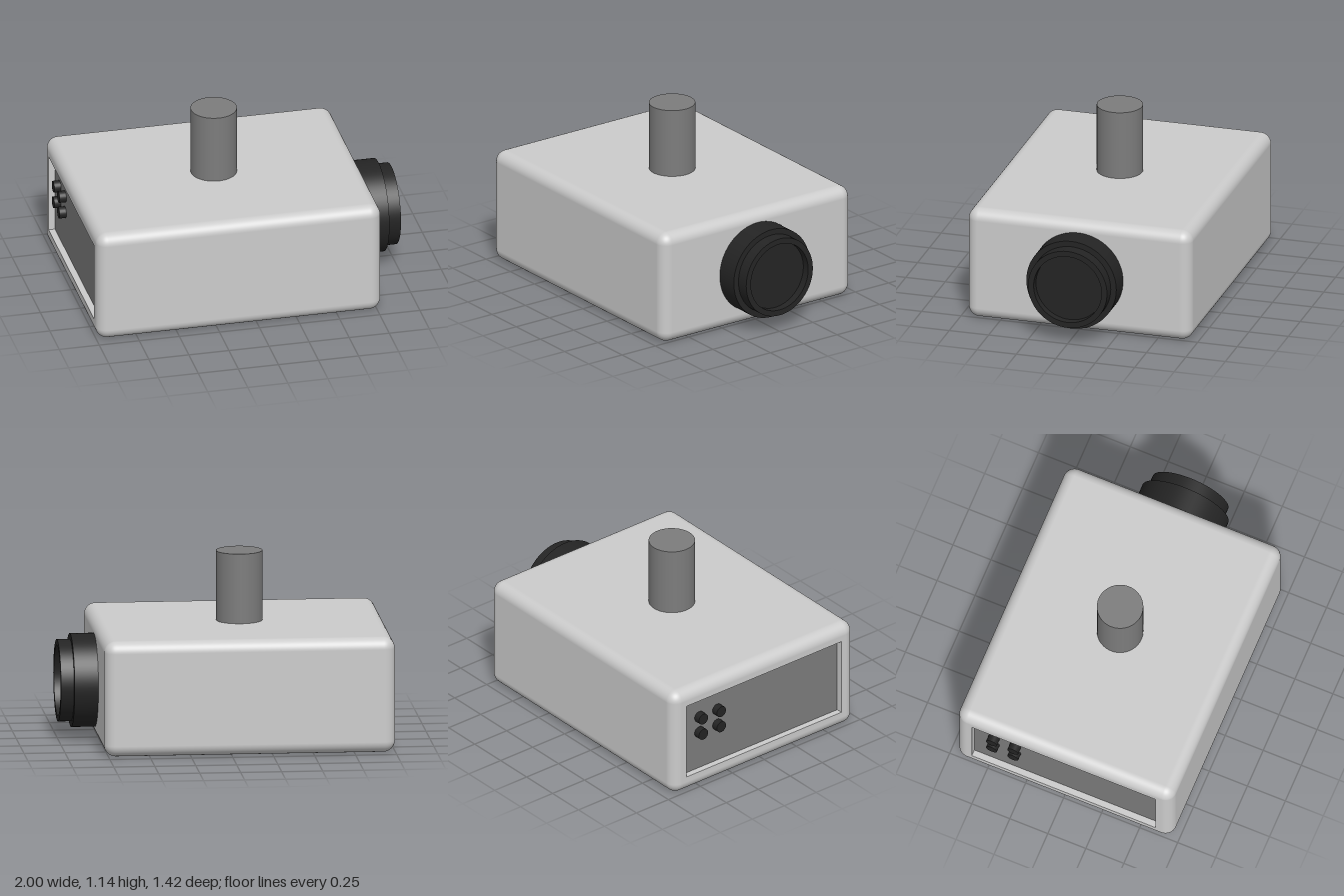
import * as THREE from 'three';
import { RoundedBoxGeometry } from 'three/addons/geometries/RoundedBoxGeometry.js';

const BACK = -0.998, FRONT = 0.775, H = 0.71, HALF_Z = 0.71, R = 0.07;
const MID_Y = H / 2, MARGIN = 0.105, RECESS = 0.04;

const grey = new THREE.MeshStandardMaterial({ color: 0xcccccc });
const darkGrey = new THREE.MeshStandardMaterial({ color: 0x7c7c7c });
const black = new THREE.MeshStandardMaterial({ color: 0x242424 });

function add(parent, name, geometry, material, x = 0, y = 0, z = 0) {
  const mesh = new THREE.Mesh(geometry, material);
  mesh.name = name;
  mesh.position.set(x, y, z);
  parent.add(mesh);
  return mesh;
}

// Rounded box with its flat -x face left open for the recessed panel
function openShell() {
  const length = FRONT - BACK;
  const full = new RoundedBoxGeometry(length, H, HALF_Z * 2, 6, R);
  const geo = full.index ? full.toNonIndexed() : full;
  const p = geo.attributes.position, n = geo.attributes.normal;
  const pos = [], nor = [];
  for (let i = 0; i < p.count; i += 3) {
    const flat = [0, 1, 2].every((k) => p.getX(i + k) < -length / 2 + 1e-4);
    if (flat) continue;
    for (let k = i; k < i + 3; k++) {
      pos.push(p.getX(k), p.getY(k), p.getZ(k));
      nor.push(n.getX(k), n.getY(k), n.getZ(k));
    }
  }
  const out = new THREE.BufferGeometry();
  out.setAttribute('position', new THREE.Float32BufferAttribute(pos, 3));
  out.setAttribute('normal', new THREE.Float32BufferAttribute(nor, 3));
  return out;
}

function rectangle(target, w, h) {
  target.moveTo(-w, -h).lineTo(w, -h).lineTo(w, h).lineTo(-w, h).closePath();
  return target;
}

export function createModel() {
  const model = new THREE.Group();
  model.name = 'projector';

  // Housing
  add(model, 'housing', openShell(), grey, (BACK + FRONT) / 2, MID_Y, 0);

  // Frame around the recessed control panel on the -x end
  const holeZ = HALF_Z - MARGIN, holeY = MID_Y - MARGIN;
  const frame = rectangle(new THREE.Shape(), HALF_Z - R, MID_Y - R);
  frame.holes.push(rectangle(new THREE.Path(), holeZ, holeY));
  const frameGeo = new THREE.ExtrudeGeometry(frame, { depth: RECESS, bevelEnabled: false });
  frameGeo.rotateY(-Math.PI / 2);
  add(model, 'panelFrame', frameGeo, grey, BACK + RECESS, MID_Y, 0);

  // Panel floor
  add(model, 'controlPanel', new THREE.BoxGeometry(0.02, holeY * 2, holeZ * 2), darkGrey,
    BACK + RECESS + 0.01, MID_Y, 0);

  // Four buttons
  const buttons = new THREE.Group();
  buttons.name = 'buttons';
  model.add(buttons);
  const buttonGeo = new THREE.CylinderGeometry(0.036, 0.036, 0.044, 24).rotateZ(Math.PI / 2);
  for (const y of [0.358, 0.465]) {
    for (const z of [-0.475, -0.335]) add(buttons, 'button', buttonGeo, black, -0.978, y, z);
  }

  // Stepped lens barrel with a sunken glass; profile is radius, distance along x
  const profile = [
    [0.285, 0.76], [0.285, 0.92], [0.25, 0.92], [0.25, 1], [0.215, 1], [0.215, 0.95], [0, 0.95],
  ];
  // Each straight run is its own lathe so the steps stay crisp
  const lens = new THREE.Group();
  lens.name = 'lens';
  model.add(lens);
  for (let i = 0; i < profile.length - 1; i++) {
    const run = [profile[i], profile[i + 1]].map(([r, d]) => new THREE.Vector2(r, d));
    const geo = new THREE.LatheGeometry(run, 64).rotateZ(-Math.PI / 2);
    add(lens, i === profile.length - 2 ? 'lensGlass' : 'lensBarrel', geo, black, 0, MID_Y, 0);
  }

  // Ceiling mount post
  add(model, 'mountPost', new THREE.CylinderGeometry(0.141, 0.141, 0.45, 48), darkGrey,
    -0.11, 0.915, 0);

  return model;
}
